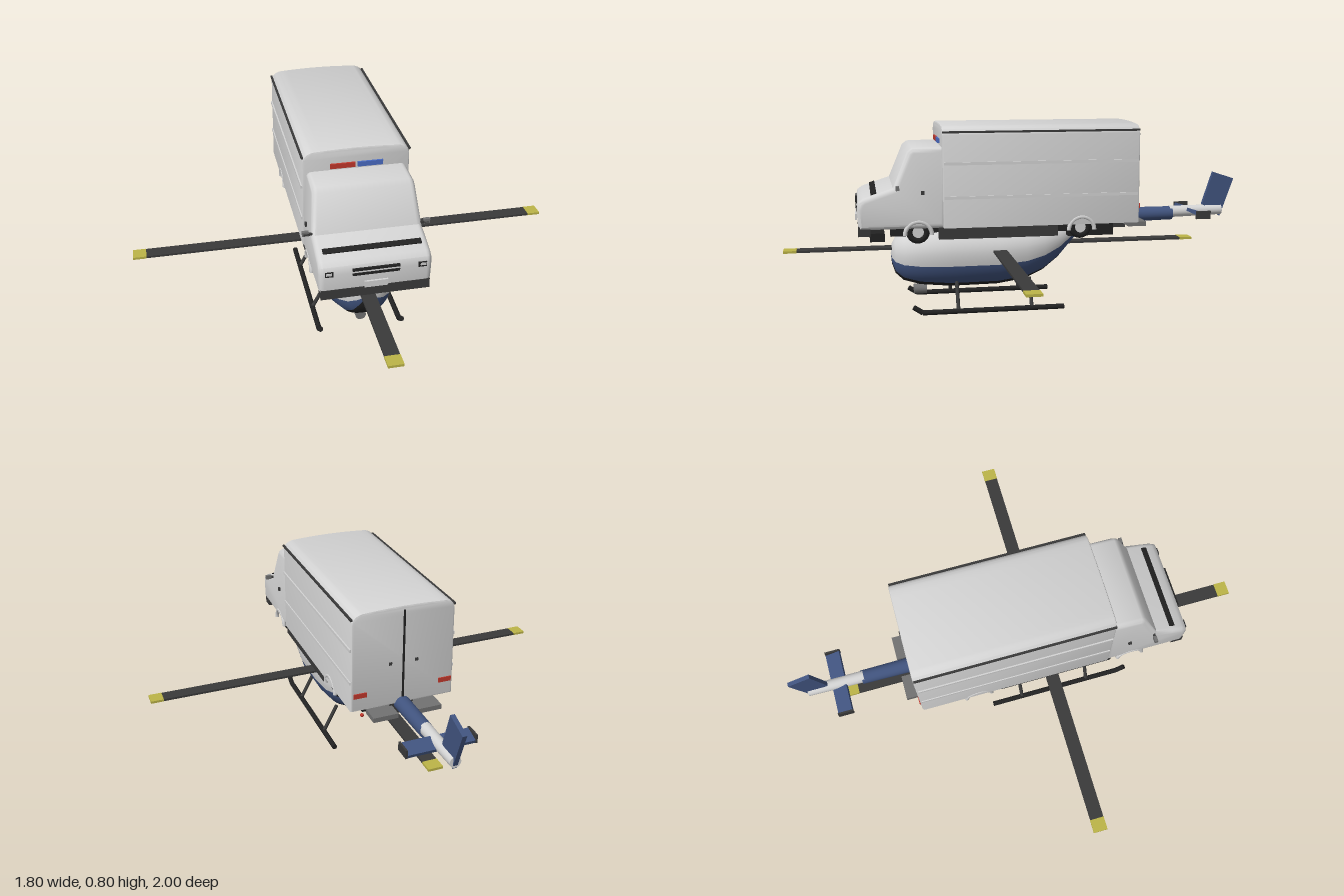
import * as THREE from 'three';
import { toCreasedNormals } from 'three/addons/utils/BufferGeometryUtils.js';

const mat = (name, color, side = THREE.FrontSide) => {
  const m = new THREE.MeshStandardMaterial({ color, side });
  m.name = name;
  return m;
};

export function createModel() {
  const root = new THREE.Group();
  root.name = 'vanHelicopter';
  const white = mat('bodyWhite', 0xd4d4d4);
  const blue = mat('navyBlue', 0x41547f);
  const dark = mat('darkGrey', 0x3a3a3a);
  const black = mat('black', 0x222222);
  const grey = mat('midGrey', 0x727272);
  const yellow = mat('tipYellow', 0xbdb548);
  const red = mat('signalRed', 0xc2382c);
  const beaconBlue = mat('beaconBlue', 0x4a6cc4);

  const add = (name, geo, material, x = 0, y = 0, z = 0, parent = root) => {
    const m = new THREE.Mesh(geo, material);
    m.name = name;
    m.position.set(x, y, z);
    parent.add(m);
    return m;
  };
  const box = (name, material, w, h, d, x, y, z, parent) =>
    add(name, new THREE.BoxGeometry(w, h, d), material, x, y, z, parent);
  const rod = (name, material, a, b, r0, r1 = r0, sides = 16) => {
    const p = new THREE.Vector3(...a), q = new THREE.Vector3(...b);
    const dir = q.clone().sub(p);
    const m = add(name, new THREE.CylinderGeometry(r1, r0, dir.length(), sides), material);
    m.position.copy(p).add(q).multiplyScalar(0.5);
    m.quaternion.setFromUnitVectors(new THREE.Vector3(0, 1, 0), dir.normalize());
    return m;
  };
  const polygon = pts => new THREE.Shape(pts.map(p => new THREE.Vector2(...p)));
  // Extrudes a side profile given as [z, y] across the width, centred on x = 0
  const across = (pts, width, bevel) => new THREE.ExtrudeGeometry(polygon(pts), {
    depth: width - 2 * bevel, bevelEnabled: bevel > 0, bevelSize: bevel,
    bevelThickness: bevel, bevelOffset: -bevel, bevelSegments: 4,
  }).translate(0, 0, -(width / 2 - bevel)).rotateY(-Math.PI / 2);

  // Cargo box with rounded roof edges
  const cargo = new THREE.Shape();
  cargo.moveTo(-0.217, 0.375);
  cargo.lineTo(0.217, 0.375);
  cargo.lineTo(0.213, 0.75);
  cargo.quadraticCurveTo(0.21, 0.785, 0.17, 0.791);
  cargo.quadraticCurveTo(0, 0.803, -0.17, 0.791);
  cargo.quadraticCurveTo(-0.21, 0.785, -0.213, 0.75);
  const cargoGeo = new THREE.ExtrudeGeometry(cargo, {
    depth: 0.819, bevelSize: 0.008, bevelThickness: 0.008, bevelOffset: -0.008, bevelSegments: 2,
  });
  add('cargoBox', toCreasedNormals(cargoGeo, 0.6), white, 0, 0, -0.482);

  // Cab, narrowing towards the roof
  const cabGeo = across([[0.33, 0.375], [0.685, 0.375], [0.692, 0.46], [0.685, 0.49], [0.665, 0.505],
    [0.62, 0.52], [0.545, 0.545], [0.485, 0.69], [0.465, 0.705], [0.33, 0.708]], 0.434, 0.022);
  const cp = cabGeo.attributes.position;
  for (let i = 0; i < cp.count; i++) {
    cp.setX(i, cp.getX(i) * (1 - Math.max(0, cp.getY(i) - 0.53) * 0.5));
  }
  add('cab', toCreasedNormals(cabGeo, 0.7), white);

  // Cab front details
  box('wiperTrough', black, 0.38, 0.005, 0.024, 0, 0.521, 0.622).rotation.x = 0.32;
  for (const y of [0.472, 0.453]) box('grilleBar', black, 0.18, 0.01, 0.009, 0, y, 0.691);
  box('numberPlate', white, 0.09, 0.026, 0.008, 0, 0.405, 0.694);
  box('frontBumper', dark, 0.42, 0.04, 0.05, 0, 0.37, 0.663);
  box('bumperLip', black, 0.32, 0.035, 0.06, 0, 0.335, 0.61);
  box('lightBarRed', red, 0.1, 0.02, 0.009, -0.055, 0.725, 0.348);
  box('lightBarBlue', beaconBlue, 0.1, 0.02, 0.009, 0.055, 0.725, 0.348);

  // Rear doors and step
  box('doorGap', black, 0.008, 0.4, 0.006, 0, 0.58, -0.49);
  box('boomSaddle', dark, 0.1, 0.05, 0.12, 0, 0.35, -0.42);

  for (const s of [-1, 1]) {
    box('headlight', black, 0.032, 0.02, 0.008, s * 0.178, 0.463, 0.69);
    box('headlightLens', white, 0.022, 0.01, 0.008, s * 0.18, 0.465, 0.692);
    box('mirrorArm', dark, 0.04, 0.008, 0.01, s * 0.225, 0.545, 0.53);
    box('mirror', grey, 0.025, 0.018, 0.014, s * 0.237, 0.548, 0.528);
    box('doorHandle', dark, 0.008, 0.016, 0.014, s * 0.217, 0.525, 0.425);
    box('tailLamp', red, 0.055, 0.02, 0.009, s * 0.18, 0.445, -0.49);
    box('rearHandle', dark, 0.012, 0.012, 0.008, s * 0.055, 0.56, -0.49);
    box('rearStep', grey, 0.105, 0.02, 0.08, s * 0.093, 0.355, -0.505);
    box('gutter', dark, 0.008, 0.008, 0.83, s * 0.213, 0.768, -0.072);
    for (const y of [0.64, 0.5]) box('sideRib', white, 0.008, 0.012, 0.82, s * 0.216, y, -0.072);
    box('sideSill', dark, 0.03, 0.05, 0.5, s * 0.19, 0.352, 0.11);
    box('chassisRail', black, 0.03, 0.05, 0.95, s * 0.09, 0.352, 0.08);
    box('rearMachinery', black, 0.09, 0.06, 0.2, s * 0.09, 0.34, -0.3);

    // Tucked wheels under arched flares
    for (const z of [0.445, -0.24]) {
      const wheel = new THREE.Group();
      wheel.name = 'wheel';
      wheel.position.set(s * 0.18, 0.358, z);
      root.add(wheel);
      add('tyre', new THREE.TorusGeometry(0.034, 0.015, 10, 24).rotateY(Math.PI / 2), black, 0, 0, 0, wheel);
      add('hub', new THREE.CylinderGeometry(0.032, 0.032, 0.02, 20).rotateZ(Math.PI / 2), white, 0, 0, 0, wheel);
      add('archFlare', new THREE.TorusGeometry(0.055, 0.009, 8, 20, Math.PI).rotateY(Math.PI / 2),
        white, s * 0.031, -0.008, 0, wheel);
    }
  }
  for (const z of [0.445, -0.24]) rod('axle', grey, [-0.17, 0.358, z], [0.17, 0.358, z], 0.014);

  // Helicopter hull stations: z, half width, top, widest height, bottom
  const stations = [
    [0.552, 0.0, 0.235, 0.235, 0.235], [0.547, 0.04, 0.275, 0.235, 0.19], [0.533, 0.075, 0.3, 0.237, 0.15],
    [0.5, 0.11, 0.33, 0.24, 0.12], [0.43, 0.143, 0.355, 0.245, 0.1], [0.3, 0.163, 0.37, 0.25, 0.088],
    [0.1, 0.165, 0.37, 0.25, 0.09], [-0.02, 0.157, 0.37, 0.257, 0.107], [-0.1, 0.14, 0.37, 0.268, 0.142],
    [-0.17, 0.112, 0.37, 0.287, 0.195], [-0.25, 0.07, 0.38, 0.325, 0.283], [-0.33, 0.033, 0.4, 0.37, 0.338],
  ];
  // Hull strip between two angles, measured from the top towards +x
  const hullStrip = (name, material, from, to, n) => {
    const pos = [], idx = [];
    stations.forEach(([z, w, top, mid, bot], i) => {
      for (let j = 0; j <= n; j++) {
        const a = THREE.MathUtils.degToRad(from + (to - from) * j / n);
        const c = Math.cos(a), sn = Math.sin(a);
        pos.push(w * Math.sign(sn) * Math.abs(sn) ** 0.75, mid + c * (c > 0 ? top - mid : mid - bot), z);
        if (i && j) {
          const d = i * (n + 1) + j, b = d - n - 1;
          idx.push(b - 1, b, d - 1, b, d, d - 1);
        }
      }
    });
    const g = new THREE.BufferGeometry();
    g.setAttribute('position', new THREE.Float32BufferAttribute(pos, 3));
    g.setIndex(idx);
    g.computeVertexNormals();
    add(name, g, material);
  };
  hullStrip('hullUpper', white, -108, 108, 30);
  hullStrip('hullSideLeft', blue, 108, 145, 7);
  hullStrip('hullSideRight', blue, 215, 252, 7);
  hullStrip('hullBelly', black, 145, 215, 12);

  // Tail boom, stabiliser and fin
  rod('tailBoom', blue, [0, 0.37, -0.27], [0, 0.374, -0.71], 0.035, 0.03, 24);
  rod('tailBoomEnd', white, [0, 0.38, -0.7], [0, 0.384, -0.945], 0.026, 0.023, 24);
  box('stabiliser', blue, 0.28, 0.014, 0.065, 0, 0.382, -0.808).rotation.x = -0.3;
  for (const s of [-1, 1]) box('stabiliserTip', dark, 0.008, 0.035, 0.066, s * 0.141, 0.384, -0.808);
  add('tailFin', across([[-0.855, 0.41], [-0.94, 0.355], [-1, 0.525], [-0.903, 0.557]], 0.018, 0), blue);

  // Four rotor blades with yellow tips
  const rotor = new THREE.Group();
  rotor.name = 'rotor';
  rotor.position.set(0, 0.26, 0.1);
  root.add(rotor);
  for (let i = 0; i < 4; i++) {
    const blade = new THREE.Group();
    blade.name = 'blade';
    blade.rotation.y = i * Math.PI / 2;
    rotor.add(blade);
    box('bladeSpan', dark, 0.058, 0.009, 0.795, 0, 0, 0.4475, blade);
    box('bladeTip', yellow, 0.06, 0.01, 0.055, 0, 0, 0.8725, blade);
  }

  // Landing skids with slanted struts
  for (const s of [-1, 1]) {
    rod('skid', black, [s * 0.172, 0.011, 0.43], [s * 0.172, 0.011, -0.175], 0.011);
    rod('skidToe', black, [s * 0.172, 0.011, 0.43], [s * 0.172, 0.036, 0.468], 0.011);
    for (const z of [0.28, -0.035]) rod('strut', dark, [s * 0.172, 0.012, z], [s * 0.11, 0.13, z], 0.008);
  }

  // Nose searchlight and belly beacon
  rod('searchlight', grey, [0, 0.073, 0.4], [0, 0.073, 0.455], 0.022, 0.022, 20);
  rod('searchlightMount', dark, [0, 0.08, 0.42], [0, 0.12, 0.42], 0.008);
  add('bellyBeacon', new THREE.SphereGeometry(0.009, 12, 8), red, 0, 0.072, -0.065);

  return root;
}
